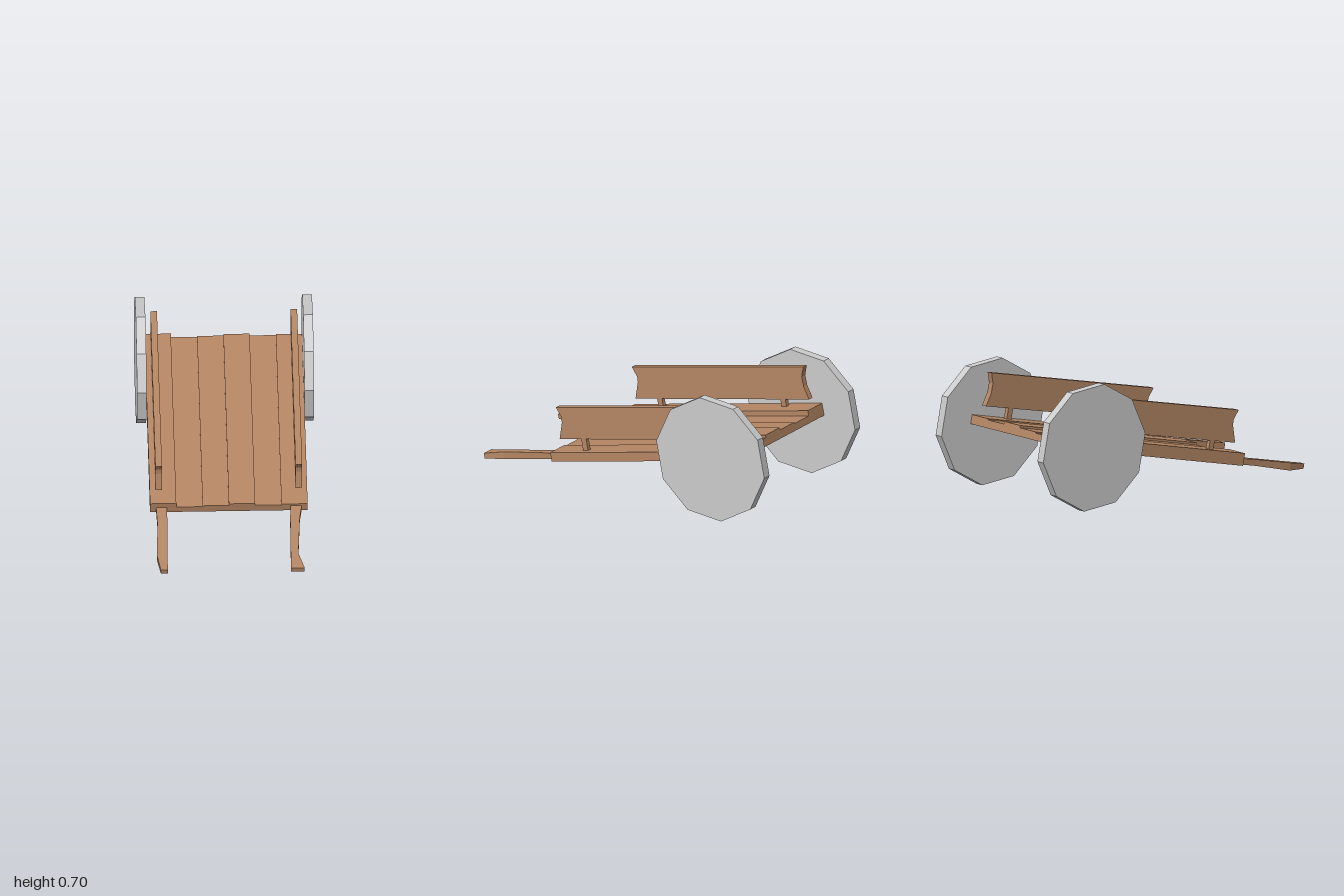
import * as THREE from 'three';

const wood = new THREE.MeshStandardMaterial({ color: 0xb48664, flatShading: true });
const grey = new THREE.MeshStandardMaterial({ color: 0xcccccc, flatShading: true });

// Bar along z through rectangular sections [z, x0, x1, y0, y1]
function bar(sections) {
  const n = sections.length - 1;
  const geo = new THREE.BoxGeometry(1, 1, 1, 1, 1, n);
  const p = geo.attributes.position;
  for (let i = 0; i < p.count; i++) {
    const [z, x0, x1, y0, y1] = sections[Math.round((p.getZ(i) + 0.5) * n)];
    p.setXYZ(i, p.getX(i) < 0 ? x0 : x1, p.getY(i) < 0 ? y0 : y1, z);
  }
  geo.computeVertexNormals();
  return geo;
}

export function createModel() {
  const cart = new THREE.Group();
  cart.name = 'handcart';

  const add = (name, geo, x = 0, y = 0, z = 0, mat = wood) => {
    const mesh = new THREE.Mesh(geo, mat);
    mesh.name = name;
    mesh.position.set(x, y, z);
    cart.add(mesh);
    return mesh;
  };

  // Bed: six planks, flush underneath and uneven on top
  const length = 1.246, width = 0.866, plankWidth = width / 6;
  [0.07, 0.04, 0.047, 0.06, 0.045, 0.052].forEach((t, i) => {
    add('bedPlank', new THREE.BoxGeometry(plankWidth, t, length),
      (i - 2.5) * plankWidth, t / 2, 0);
  });

  // Side board outline, drawn as (z, y) with notched ends
  const outline = new THREE.Shape([
    [0.555, 0.302], [0.53, 0.246], [0.532, 0.215], [0.566, 0.12],
    [-0.588, 0.111], [-0.567, 0.185], [-0.565, 0.24], [-0.587, 0.298],
  ].map(([z, y]) => new THREE.Vector2(-z, y)));
  const boardGeo = new THREE.ExtrudeGeometry(outline, { depth: 0.036, bevelEnabled: false });
  boardGeo.translate(0, 0, -0.018);
  boardGeo.rotateY(Math.PI / 2); // outline runs along z

  const wheelGeo = new THREE.CylinderGeometry(0.355, 0.355, 0.053, 10);
  wheelGeo.rotateX(Math.PI / 2).rotateY(Math.PI / 2);
  // Turn the wheel so that one corner points straight up
  const corner = Math.atan2(wheelGeo.attributes.position.getZ(0), wheelGeo.attributes.position.getY(0));
  wheelGeo.rotateX(-corner);

  for (const s of [-1, 1]) {
    add('sideBoard', boardGeo, s * 0.385, 0, 0);
    for (const z of [-0.41, 0.41]) {
      add('boardPost', new THREE.BoxGeometry(0.026, 0.12, 0.032), s * 0.385, 0.085, z);
    }
    add('wheel', wheelGeo, s * 0.46, 0.024, -0.473, grey);
  }

  // Hand-carved handles, each with its own taper
  add('rightHandle', bar([
    [0.6, -0.4, -0.34, 0.003, 0.036],
    [0.74, -0.395, -0.34, 0.003, 0.038],
    [0.975, -0.403, -0.345, -0.004, 0.039],
    [1.085, -0.384, -0.346, 0.012, 0.04],
  ]));
  add('leftHandle', bar([
    [0.6, 0.34, 0.404, 0.003, 0.036],
    [0.71, 0.335, 0.388, 0.003, 0.038],
    [0.975, 0.332, 0.374, -0.002, 0.04],
    [1.085, 0.331, 0.406, 0.012, 0.042],
  ]));

  // Cart rests on its wheels, tipped towards the handles and turned
  cart.rotation.set(0.199, -0.717, 0, 'YXZ');
  cart.position.set(0.044, 0.233, -0.074);

  const model = new THREE.Group();
  model.add(cart);
  return model;
}
